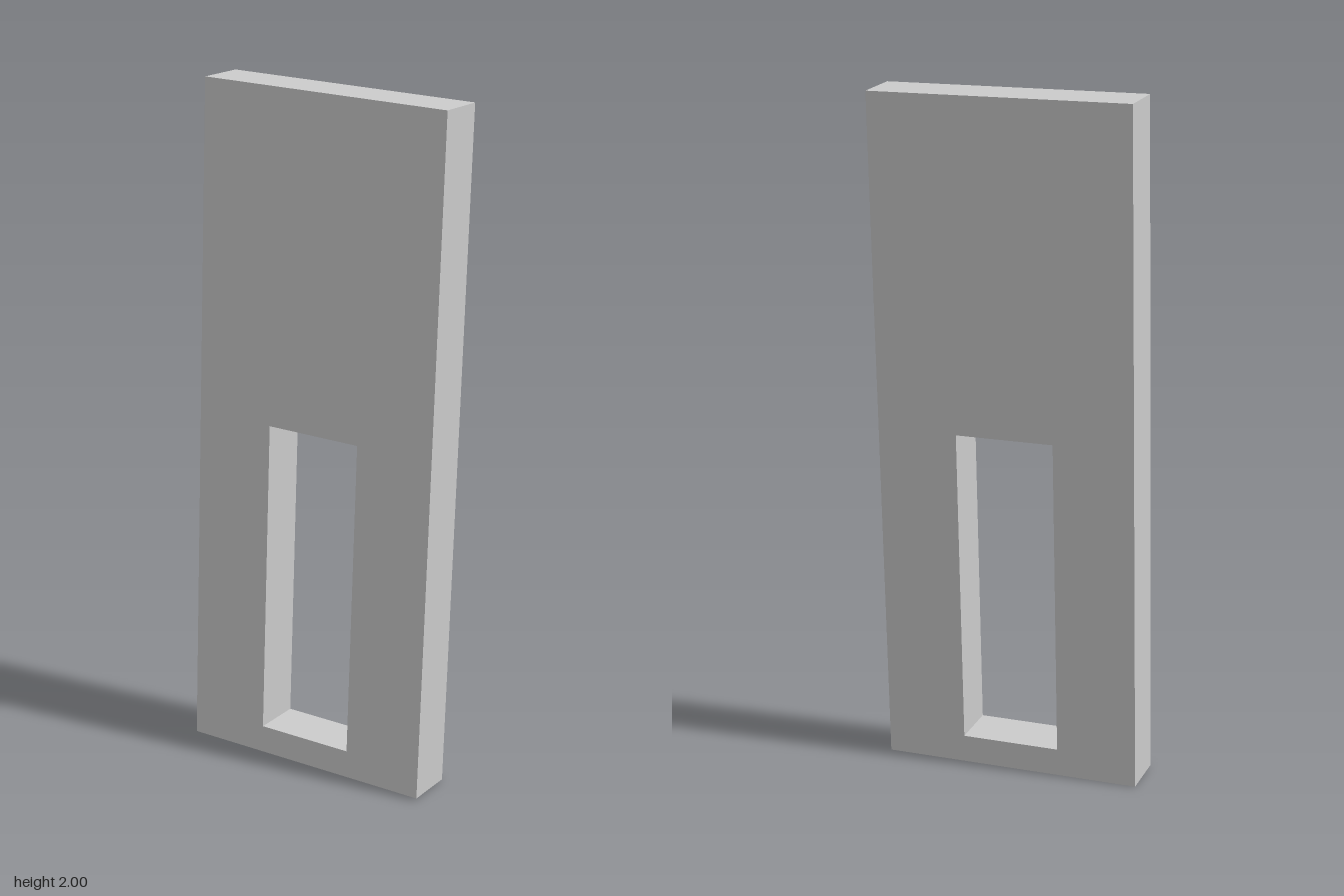
import * as THREE from 'three';

const WIDTH = 0.77, HEIGHT = 1.995, DEPTH = 0.15, LEAN = 0.0545;
const SLOT = { halfWidth: 0.146, bottom: 0.082, top: 1.022 };

// Closed rectangular outline
function rectangle(PathType, halfWidth, bottom, top) {
  return new PathType([
    new THREE.Vector2(-halfWidth, bottom),
    new THREE.Vector2(halfWidth, bottom),
    new THREE.Vector2(halfWidth, top),
    new THREE.Vector2(-halfWidth, top),
  ]);
}

export function createModel() {
  const group = new THREE.Group();
  group.name = 'slottedPanel';

  // Flat panel with a tall rectangular slot in its lower half
  const outline = rectangle(THREE.Shape, WIDTH / 2, 0, HEIGHT);
  outline.holes.push(rectangle(THREE.Path, SLOT.halfWidth, SLOT.bottom, SLOT.top));
  const geometry = new THREE.ExtrudeGeometry(outline, { depth: DEPTH, bevelEnabled: false });
  geometry.translate(0, -HEIGHT / 2, -DEPTH / 2);

  // Leaned back slightly, resting on its lower back edge
  const panel = new THREE.Mesh(
    geometry,
    new THREE.MeshStandardMaterial({ color: 0xcccccc, flatShading: true })
  );
  panel.name = 'panel';
  panel.rotation.x = -LEAN;
  panel.position.y = (HEIGHT * Math.cos(LEAN) + DEPTH * Math.sin(LEAN)) / 2;
  group.add(panel);

  return group;
}
